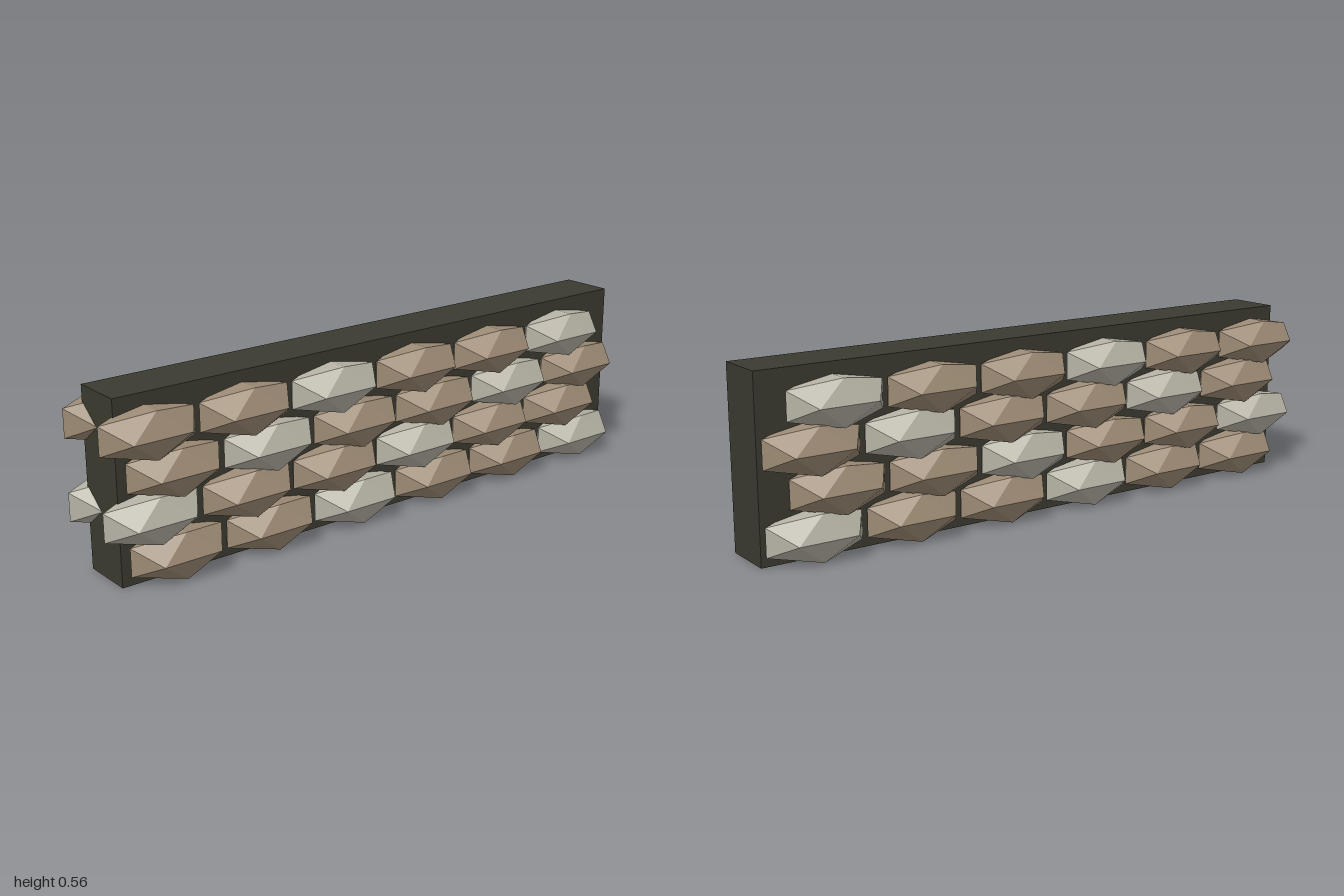
import * as THREE from 'three';

const ROWS = 4, COLUMNS = 6;

export function createModel() {
  const group = new THREE.Group();
  const mortar = new THREE.MeshStandardMaterial({ name: 'dark mortar', color: 0x3a3a30 });
  const tan = new THREE.MeshStandardMaterial({ name: 'tan stone', color: 0x9c8a74 });
  const grey = new THREE.MeshStandardMaterial({ name: 'pale grey stone', color: 0xb5b2a4 });

  // Solid core of the wall
  const core = new THREE.Mesh(new THREE.BoxGeometry(0.17, 0.56, 1.945), mortar);
  core.name = 'wallCore';
  core.position.set(0, 0.28, -0.0275);
  group.add(core);

  // Faceted stone, stretched along the wall
  const stone = new THREE.IcosahedronGeometry(1, 0);
  stone.scale(0.1058, 0.0842, 0.1786);

  // Staggered courses of stones on both faces, every third one pale
  for (const side of [1, -1]) {
    const face = new THREE.Group();
    face.name = side > 0 ? 'leftStones' : 'rightStones';
    for (let row = 0; row < ROWS; row++) {
      const firstZ = row % 2 ? 0.848 : 0.77;
      for (let i = 0; i < COLUMNS; i++) {
        const mesh = new THREE.Mesh(stone, (i - row + 4) % 3 === 0 ? grey : tan);
        mesh.name = 'stone';
        mesh.position.set(side * 0.098, 0.075 + row * 0.1257, firstZ - i * 0.3215);
        face.add(mesh);
      }
    }
    group.add(face);
  }
  return group;
}
